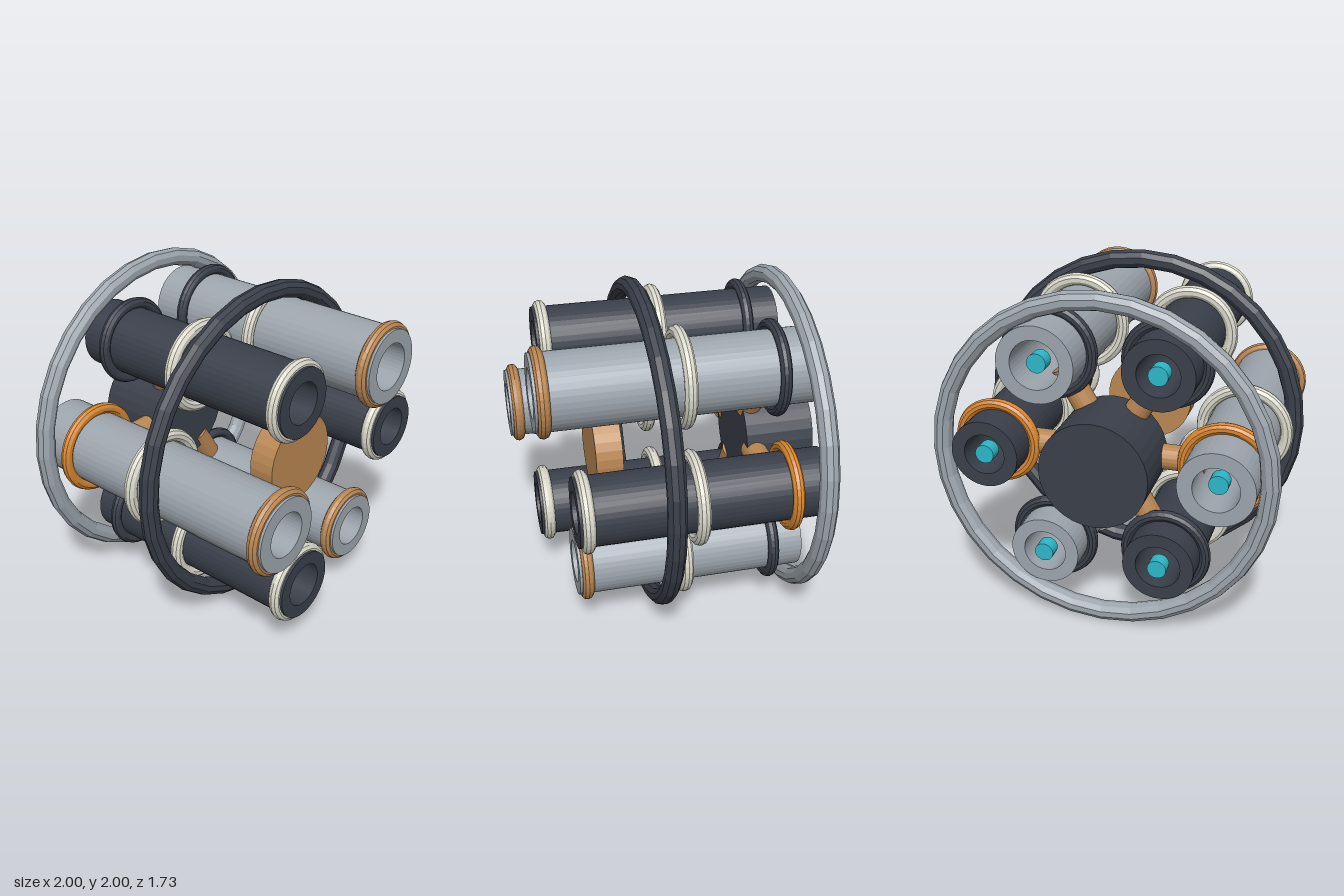
import * as THREE from 'three';

const mat = (name, color) => {
  const m = new THREE.MeshStandardMaterial({ color, flatShading: true });
  m.name = name;
  return m;
};

export function createModel() {
  const steel = mat('steel grey', 0x9da5ad);
  const dark = mat('dark slate', 0x3a3f4a);
  const copper = mat('copper', 0xba8753);
  const orange = mat('bright orange', 0xd98730);
  const ivory = mat('ivory', 0xd9d8ca);
  const teal = mat('teal', 0x2eb8ca);

  const model = new THREE.Group();
  model.name = 'tubeCluster';

  const add = (parent, name, geometry, material, x = 0, y = 0, z = 0) => {
    const mesh = new THREE.Mesh(geometry, material);
    mesh.name = name;
    mesh.position.set(x, y, z);
    parent.add(mesh);
    return mesh;
  };

  // Solid cylinder along z, between two z values
  const disc = (parent, name, r, z0, z1, material, sides = 32) =>
    add(parent, name, new THREE.CylinderGeometry(r, r, z1 - z0, sides).rotateX(Math.PI / 2),
      material, 0, 0, (z0 + z1) / 2);

  const ring = (parent, name, r, thickness, z, material, sides = 40) =>
    add(parent, name, new THREE.TorusGeometry(r, thickness, 10, sides), material, 0, 0, z);

  // Open pipe along z with thick walls
  const pipe = (parent, name, ro, ri, z0, z1, material) => {
    const profile = [[ri, z0], [ro, z0], [ro, z1], [ri, z1], [ri, z0]]
      .map(([x, y]) => new THREE.Vector2(x, y));
    add(parent, name, new THREE.LatheGeometry(profile, 40).rotateX(Math.PI / 2), material);
  };

  const body = new THREE.Group();
  body.name = 'body';
  body.position.y = 1;
  model.add(body);

  // Large hoops
  ring(body, 'frontHoop', 0.943, 0.055, 0.13, dark, 32);
  ring(body, 'rearHoop', 0.943, 0.055, -0.72, steel, 32);

  // Central hubs
  disc(body, 'rearHub', 0.31, -0.865, -0.455, dark);
  disc(body, 'frontHub', 0.27, 0.285, 0.445, copper);

  // Six tubes: outer radius, bore, front end, back end, colours
  const tubes = [
    [0.198, 0.12, 0.64, -0.772, dark, ivory, orange],
    [0.22, 0.14, 0.805, -0.8, steel, copper, dark],
    [0.2, 0.12, 0.7, -0.765, dark, ivory, dark],
    [0.215, 0.13, 0.865, -0.83, steel, copper, orange],
    [0.207, 0.13, 0.745, -0.745, dark, ivory, dark],
    [0.202, 0.125, 0.61, -0.755, steel, copper, dark],
  ];
  tubes.forEach(([ro, ri, front, back, wall, frontBand, rearBand], i) => {
    const angle = i * Math.PI / 3;
    const tube = new THREE.Group();
    tube.name = 'tube' + (i + 1);
    tube.position.set(0.67 * Math.cos(angle), 0.67 * Math.sin(angle), 0);
    body.add(tube);
    pipe(tube, 'tubeWall', ro, ri, back, front, wall);
    ring(tube, 'muzzleBand', ro, 0.036, front - 0.05, frontBand);
    ring(tube, 'middleBand', ro + 0.037, 0.037, -0.03, ivory);
    ring(tube, 'rearBand', ro + 0.027, 0.033, -0.568, rearBand);
    disc(tube, 'core', 0.055, -0.77, -0.69, teal, 20);

    // Spoke from the rear hub to the tube
    const spoke = add(body, 'spoke', new THREE.CylinderGeometry(0.073, 0.073, 0.31, 20), copper,
      0.395 * Math.cos(angle), 0.395 * Math.sin(angle), -0.51);
    spoke.rotation.z = angle - Math.PI / 2;
  });

  return model;
}
